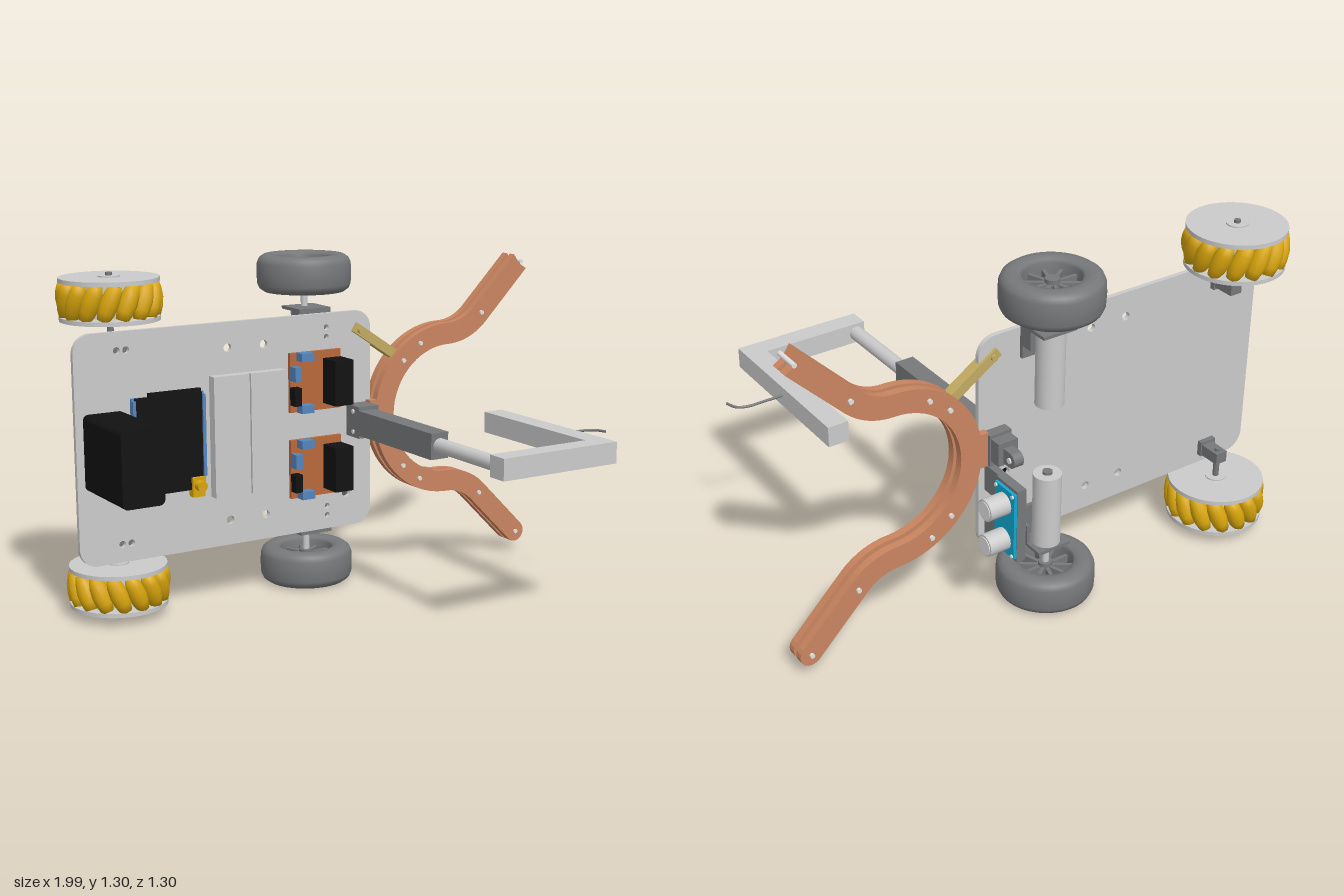
import * as THREE from 'three';

const M = {};
for (const [name, color] of Object.entries({
  lightGrey: 0xcbcbcb, darkGrey: 0x77787a, black: 0x121212, gold: 0xd9a60c, copper: 0xc98560,
  boardOrange: 0xb9693a, blue: 0x5585bd, cyan: 0x12a9d2, brass: 0xc2ab62, steel: 0xe2e2e2,
})) {
  M[name] = new THREE.MeshStandardMaterial({ color });
  M[name].name = name;
}
const MID = 0.6485; // height of the mirror plane
const WZ = -0.46; // depth of the wheel axles

export function createModel() {
  const root = new THREE.Group();
  root.name = 'robotVehicle';

  const add = (name, geo, mat, parent = root) => {
    const m = new THREE.Mesh(geo, mat);
    m.name = name;
    parent.add(m);
    return m;
  };
  // Box between two corners
  const box = (name, mat, x0, x1, y0, y1, z0, z1) => {
    const m = add(name, new THREE.BoxGeometry(Math.abs(x1 - x0), Math.abs(y1 - y0), Math.abs(z1 - z0)), mat);
    m.position.set((x0 + x1) / 2, (y0 + y1) / 2, (z0 + z1) / 2);
    return m;
  };
  // Cylinder between two points
  const rod = (name, mat, r, a, b, seg = 24) => {
    const p = new THREE.Vector3(...a), q = new THREE.Vector3(...b);
    const m = add(name, new THREE.CylinderGeometry(r, r, p.distanceTo(q), seg), mat);
    m.position.copy(p).add(q).multiplyScalar(0.5);
    m.quaternion.setFromUnitVectors(new THREE.Vector3(0, 1, 0), q.sub(p).normalize());
    return m;
  };
  const slab = (name, mat, shape, z0, z1) => {
    const m = add(name, new THREE.ExtrudeGeometry(shape, { depth: z1 - z0, bevelEnabled: false, curveSegments: 16 }), mat);
    m.position.z = z0;
    return m;
  };
  const lathe = (pts, seg) => new THREE.LatheGeometry(pts.map(p => new THREE.Vector2(...p)), seg);
  const roundRect = (x0, x1, y0, y1, r) => {
    const s = new THREE.Shape();
    s.absarc(x1 - r, y1 - r, r, 0, Math.PI / 2);
    s.absarc(x0 + r, y1 - r, r, Math.PI / 2, Math.PI);
    s.absarc(x0 + r, y0 + r, r, Math.PI, Math.PI * 1.5);
    s.absarc(x1 - r, y0 + r, r, Math.PI * 1.5, Math.PI * 2);
    return s;
  };

  // Chassis plate with drilled holes
  const plate = roundRect(-0.99, 0.25, 0.222, 1.075, 0.07);
  const hole = (x, y, r) => plate.holes.push(new THREE.Path().absarc(x, y, r, 0, Math.PI * 2, true));
  for (const s of [1, -1]) {
    for (const x of [-0.378, -0.225]) hole(x, MID + s * 0.33, 0.016);
    for (const dy of [0.335, 0.372]) hole(0.05, MID + s * dy, 0.011);
    for (const x of [-0.823, -0.787]) hole(x, MID + s * 0.358, 0.013);
  }
  hole(0.137, 0.51, 0.019);
  hole(0.137, 0.357, 0.019);
  slab('chassisPlate', M.lightGrey, plate, -0.38, -0.362);

  // Rear roller wheels
  const rollerGeo = lathe([[0, -0.066], [0.022, -0.066], [0.031, -0.035], [0.035, 0], [0.031, 0.035], [0.022, 0.066], [0, 0.066]], 12);
  const rollerWheel = s => {
    const g = new THREE.Group();
    g.name = 'rollerWheel';
    g.position.set(-0.8, MID + s * 0.534, WZ);
    root.add(g);
    add('wheelCore', new THREE.CylinderGeometry(0.115, 0.115, 0.13, 32), M.lightGrey, g);
    for (const e of [1, -1]) {
      add('wheelDisc', new THREE.CylinderGeometry(0.182, 0.182, 0.016, 48), M.lightGrey, g).position.y = e * 0.07;
      add('wheelBoss', new THREE.CylinderGeometry(0.04, 0.04, 0.006, 24), M.lightGrey, g).position.y = e * 0.08;
    }
    for (let i = 0; i < 15; i++) {
      const pivot = new THREE.Group();
      pivot.name = 'rollerMount';
      pivot.rotation.y = (i / 15) * Math.PI * 2;
      g.add(pivot);
      const r = add('roller', rollerGeo, M.gold, pivot);
      r.position.z = 0.159;
      r.rotation.z = -s * 0.38;
    }
    rod('rearAxle', M.darkGrey, 0.012, [-0.8, MID + s * 0.33, WZ], [-0.8, MID + s * 0.628, WZ], 12);
    // Axle bracket under the plate
    box('axleBracketBase', M.darkGrey, -0.84, -0.77, MID + s * 0.33, MID + s * 0.39, -0.4, -0.38);
    box('axleBracketPost', M.darkGrey, -0.825, -0.775, MID + s * 0.34, MID + s * 0.385, -0.485, -0.4);
  };

  // Front rubber wheels with spoked hubs
  const tyreGeo = lathe([[0.1, -0.055], [0.108, -0.066], [0.13, -0.072], [0.155, -0.07], [0.172, -0.058], [0.18, -0.04], [0.182, 0],
    [0.18, 0.04], [0.172, 0.058], [0.155, 0.07], [0.13, 0.072], [0.108, 0.066], [0.1, 0.055], [0.096, 0], [0.1, -0.055]], 48);
  const rubberWheel = s => {
    const g = new THREE.Group();
    g.name = 'rubberWheel';
    g.position.set(0.01, MID + s * 0.576, WZ);
    root.add(g);
    add('tyre', tyreGeo, M.darkGrey, g);
    add('hub', new THREE.CylinderGeometry(0.026, 0.026, 0.1, 20), M.darkGrey, g);
    for (let i = 0; i < 10; i++) {
      const a = (i / 10) * Math.PI * 2;
      const sp = add('spoke', new THREE.BoxGeometry(0.08, 0.07, 0.014), M.darkGrey, g);
      sp.position.set(Math.cos(a) * 0.062, 0, -Math.sin(a) * 0.062);
      sp.rotation.y = a;
    }
    // Motor, shaft and bracket
    const y = d => MID + s * d;
    rod('motorShaft', M.lightGrey, 0.013, [0.01, y(0.43), WZ], [0.01, y(0.56), WZ], 16);
    rod('motor', M.lightGrey, 0.052, [0.01, y(0.145), WZ], [0.01, y(0.436), WZ], 32);
    rod('motorEndCap', M.darkGrey, 0.018, [0.01, y(0.135), WZ], [0.01, y(0.15), WZ], 16);
    box('motorBracketFace', M.darkGrey, -0.058, 0.08, y(0.434), y(0.446), -0.515, -0.38);
    box('motorBracketFoot', M.darkGrey, -0.058, 0.08, y(0.31), y(0.446), -0.394, -0.38);
    for (const x of [-0.058, 0.068]) box('motorBracketRib', M.darkGrey, x, x + 0.012, y(0.36), y(0.44), -0.44, -0.385);
  };
  for (const s of [1, -1]) { rollerWheel(s); rubberWheel(s); }

  // Battery
  slab('battery', M.black, roundRect(-0.96, -0.8, 0.508, 0.787, 0.02), -0.362, -0.04);

  // Controller board
  box('controllerBoard', M.blue, -0.777, -0.485, 0.462, 0.828, -0.362, -0.354);
  box('controllerCover', M.black, -0.765, -0.497, 0.462, 0.828, -0.356, -0.343);
  box('controllerCoverTop', M.black, -0.71, -0.5, 0.825, 0.842, -0.36, -0.343);
  for (const x of [-0.777, -0.497]) box('headerStrip', M.blue, x, x + 0.012, 0.51, 0.82, -0.356, -0.336);
  box('usbPort', M.steel, -0.725, -0.675, 0.462, 0.505, -0.35, -0.335);
  box('powerPort', M.steel, -0.78, -0.745, 0.462, 0.5, -0.35, -0.335);
  box('goldConnector', M.gold, -0.547, -0.498, 0.435, 0.51, -0.362, -0.33);
  rod('goldConnectorStud', M.gold, 0.02, [-0.522, 0.48, -0.34], [-0.522, 0.48, -0.3], 16);

  // Prototyping board in two halves
  box('protoBoardBase', M.lightGrey, -0.457, -0.152, 0.42, 0.88, -0.362, -0.335);
  box('protoBoardHalf', M.lightGrey, -0.457, -0.308, 0.42, 0.88, -0.335, -0.322);
  box('protoBoardHalf', M.lightGrey, -0.302, -0.152, 0.42, 0.88, -0.335, -0.322);

  // Motor driver boards
  for (const y of [0.705, 0.367]) {
    box('driverBoard', M.boardOrange, -0.12, 0.105, y, y + 0.23, -0.362, -0.347);
    box('heatSink', M.black, 0.025, 0.105, y + 0.025, y + 0.2, -0.35, -0.255);
    box('driverChip', M.black, -0.12, -0.09, y + 0.03, y + 0.1, -0.35, -0.31);
    for (const [x, dy] of [[-0.092, 0], [-0.092, 0.2]]) box('terminal', M.blue, x, x + 0.054, y + dy, y + dy + 0.031, -0.35, -0.305);
    box('terminal', M.blue, -0.12, -0.092, y + 0.125, y + 0.18, -0.35, -0.305);
  }

  // Two-layer claw swept along an arc with flared ends
  const path = new THREE.Path();
  const Q = Math.PI / 4, CY = 0.652;
  path.moveTo(0.955, CY + 0.57);
  path.lineTo(0.7534, CY + 0.3666);
  path.absarc(0.6, CY + 0.52, 0.217, -Q, -2 * Q, true);
  path.absarc(0.6, CY, 0.303, 2 * Q, 6 * Q, false);
  path.absarc(0.6, CY - 0.52, 0.217, 2 * Q, Q, true);
  path.lineTo(0.955, CY - 0.57);
  const sideA = [], sideB = [], HW = 0.043, N = 90;
  for (let i = 0; i <= N; i++) {
    const p = path.getPoint(i / N), t = path.getTangent(i / N);
    const n = new THREE.Vector2(-t.y, t.x).multiplyScalar(HW);
    sideA.push(p.clone().add(n));
    sideB.unshift(p.clone().sub(n));
  }
  const cap = (x, y, a0) => Array.from({ length: 7 }, (_, k) => {
    const a = a0 - (k + 1) * Math.PI / 8;
    return new THREE.Vector2(x + HW * Math.cos(a), y + HW * Math.sin(a));
  });
  const claw = new THREE.Shape([...sideA, ...cap(0.955, CY - 0.57, Q), ...sideB, ...cap(0.955, CY + 0.57, 3 * Q + Math.PI)]);
  const layers = [[-0.36, -0.33], [-0.408, -0.378]];
  for (const [z0, z1] of layers) {
    slab('clawLayer', M.copper, claw, z0, z1);
    box('clawMount', M.copper, 0.228, 0.31, 0.585, 0.72, z0, z1);
  }
  for (const s of [1, -1]) {
    for (const [x, d] of [[0.955, 0.57], [0.762, 0.375], [0.465, 0.275], [0.385, 0.213]])
      rod('clawBolt', M.steel, 0.009, [x, CY + s * d, -0.418], [x, CY + s * d, -0.322], 12);
  }
  // Brass link driving the claw
  const link = box('clawLink', M.brass, -0.135, 0.135, -0.019, 0.019, -0.39, -0.348);
  link.position.set(0.285, 0.938, -0.369);
  link.rotation.z = -0.588;
  rod('clawLinkPin', M.brass, 0.012, [0.195, 0.998, -0.4], [0.195, 0.998, -0.335], 12);

  // Telescopic lift actuator
  box('actuatorBase', M.darkGrey, 0.14, 0.23, 0.588, 0.712, -0.42, -0.27);
  box('actuatorBack', M.darkGrey, 0.145, 0.225, 0.61, 0.7, -0.466, -0.42);
  box('actuatorTube', M.darkGrey, 0.14, 0.215, 0.6, 0.698, -0.275, 0.22);
  rod('actuatorRod', M.lightGrey, 0.028, [0.178, 0.65, 0.2], [0.178, 0.65, 0.58]);
  box('mountLug', M.darkGrey, 0.165, 0.205, 0.62, 0.678, -0.505, -0.46);
  rod('mountLugEnd', M.darkGrey, 0.029, [0.165, 0.649, -0.503], [0.205, 0.649, -0.503]);
  rod('mountLugPin', M.steel, 0.011, [0.16, 0.649, -0.503], [0.21, 0.649, -0.503], 16);
  for (const y of [0.61, 0.69]) for (const z of [-0.39, -0.31])
    rod('baseBolt', M.steel, 0.009, [0.135, y, z], [0.238, y, z], 10);

  // Lift arm with hook
  box('armCrossBar', M.lightGrey, 0.142, 0.645, 0.61, 0.69, 0.573, 0.652);
  box('armReturnBar', M.lightGrey, 0.564, 0.645, 0.61, 0.69, -0.03, 0.573);
  const hook = new THREE.CatmullRomCurve3([[0.64, 0.31], [0.72, 0.31], [0.785, 0.312], [0.82, 0.33], [0.837, 0.372]]
    .map(([x, z]) => new THREE.Vector3(x, 0.653, z)));
  add('hook', new THREE.TubeGeometry(hook, 24, 0.005, 8), M.darkGrey);

  // Distance sensor on its bracket
  box('sensorBracket', M.darkGrey, 0.195, 0.232, 0.285, 0.577, -0.59, -0.465);
  box('sensorBracketArm', M.darkGrey, 0.195, 0.225, 0.47, 0.577, -0.47, -0.375);
  box('sensorBracketArm', M.darkGrey, 0.195, 0.225, 0.285, 0.38, -0.47, -0.375);
  box('sensorBoard', M.cyan, 0.232, 0.244, 0.3, 0.565, -0.588, -0.472);
  for (const y of [0.505, 0.358]) {
    rod('sensorEye', M.lightGrey, 0.041, [0.24, y, -0.53], [0.326, y, -0.53], 28);
    rod('sensorEyeFace', M.steel, 0.034, [0.32, y, -0.53], [0.329, y, -0.53], 28);
  }
  for (const y of [0.415, 0.428, 0.441, 0.454]) box('sensorPin', M.gold, 0.236, 0.25, y - 0.004, y + 0.004, -0.48, -0.445);
  for (const y of [0.309, 0.556]) for (const z of [-0.579, -0.481])
    rod('sensorScrew', M.steel, 0.007, [0.24, y, z], [0.25, y, z], 10);

  return root;
}
